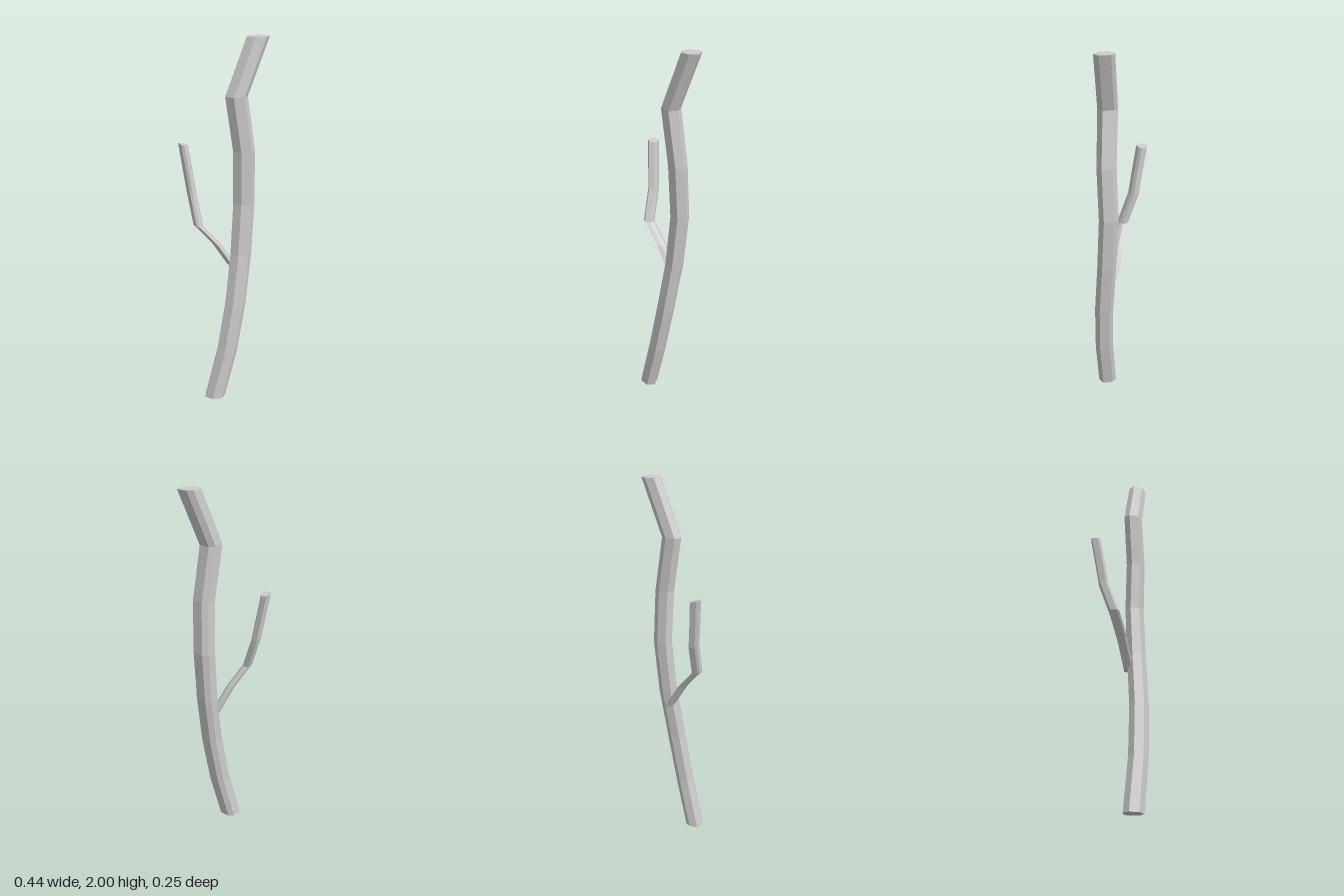
import * as THREE from 'three';

const material = new THREE.MeshStandardMaterial({ color: 0xcccccc, flatShading: true });

// Sweeps a fixed cross-section of [x, z] offsets along a path; slope tilts the section in x.
function createLimb(name, path, section, slope = 0) {
  const n = section.length;
  const positions = [];
  const corner = (i, j) => {
    const [x, y, z] = path[i];
    const [dx, dz] = section[j % n];
    return [x + dx, y + dx * slope, z + dz];
  };
  const triangle = (a, b, c) => positions.push(...a, ...b, ...c);

  // Sides
  for (let i = 0; i < path.length - 1; i++) {
    for (let j = 0; j < n; j++) {
      const a = corner(i, j), b = corner(i, j + 1);
      const c = corner(i + 1, j + 1), d = corner(i + 1, j);
      triangle(a, c, b);
      triangle(a, d, c);
    }
  }
  // End caps
  const last = path.length - 1;
  for (let j = 0; j < n; j++) {
    triangle(path[0], corner(0, j), corner(0, j + 1));
    triangle(path[last], corner(last, j + 1), corner(last, j));
  }

  const geometry = new THREE.BufferGeometry();
  geometry.setAttribute('position', new THREE.Float32BufferAttribute(positions, 3));
  geometry.computeVertexNormals();
  const mesh = new THREE.Mesh(geometry, material);
  mesh.name = name;
  return mesh;
}

export function createModel() {
  const group = new THREE.Group();
  group.name = 'branch';

  // Main stem: seven even segments with an irregular seven-sided section
  const stemCentres = [
    [-0.09, 0.073], [-0.018, 0.073], [0.035, 0.06], [0.074, 0.034],
    [0.095, 0.017], [0.089, 0.028], [0.045, 0.031], [0.162, 0.018],
  ];
  const stemPath = stemCentres.map(([x, z], i) => [x, (i * 2) / 7, z]);
  const stemSection = [
    [-0.042, -0.033], [0.002, -0.049], [0.034, -0.037], [0.059, 0.015],
    [0.029, 0.049], [-0.026, 0.042], [-0.057, 0.003],
  ];
  group.add(createLimb('mainStem', stemPath, stemSection));

  // Side twig: thinner, leaving the back of the stem and turning upward
  const twigPath = [
    [0.04, 0.775, 0.008], [-0.052, 0.92, 0.004], [-0.148, 1.03, -0.002],
    [-0.166, 1.2, -0.058], [-0.182, 1.33, -0.075], [-0.197, 1.457, -0.093],
  ];
  const twigSection = [
    [-0.025, -0.012], [-0.017, -0.022], [0.013, -0.031], [0.027, -0.006],
    [0.02, 0.012], [-0.003, 0.03], [-0.017, 0.021],
  ];
  group.add(createLimb('sideTwig', twigPath, twigSection, -0.25));

  return group;
}
